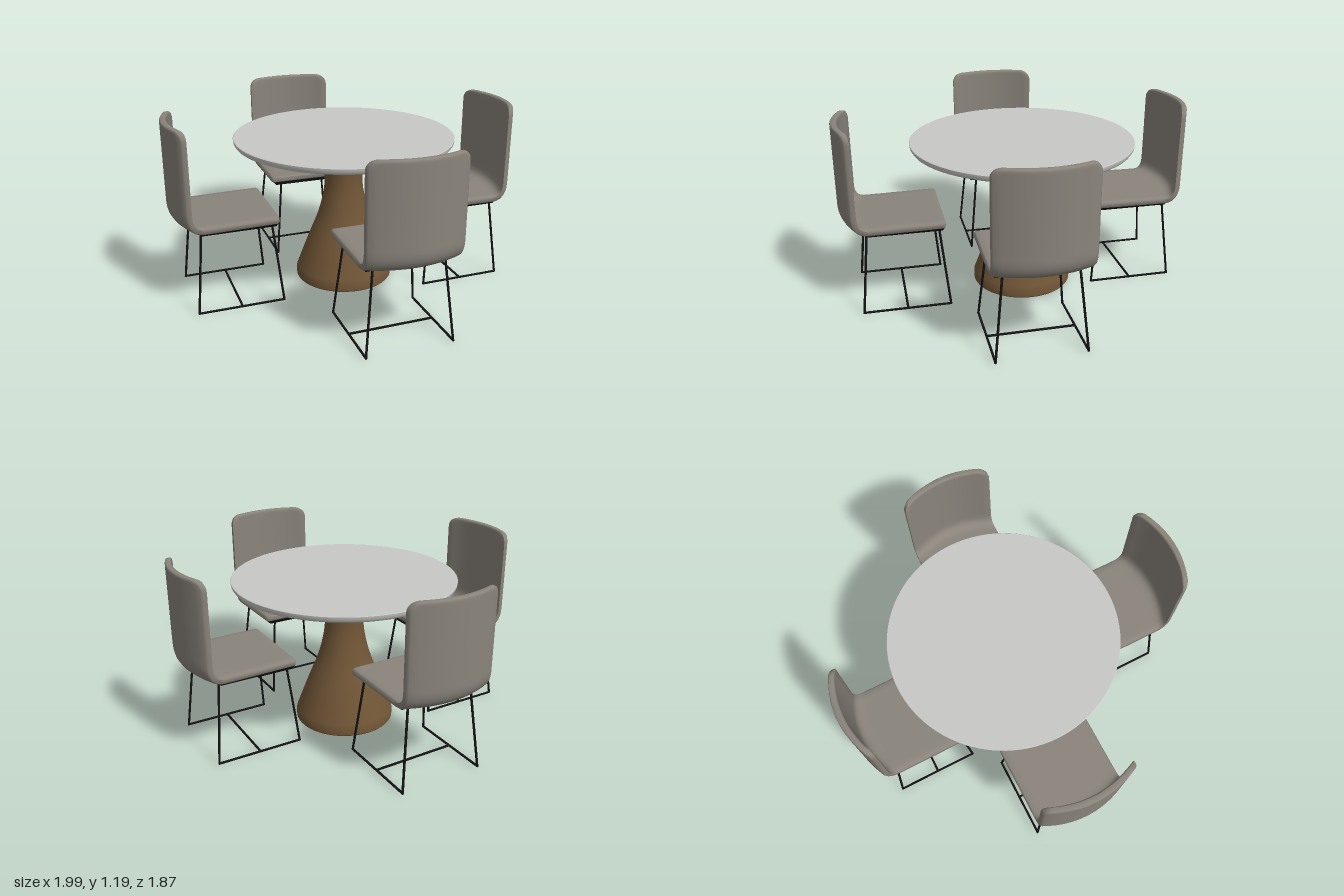
import * as THREE from 'three';
import { toCreasedNormals } from 'three/addons/utils/BufferGeometryUtils.js';

const mat = (name, color) => {
  const m = new THREE.MeshStandardMaterial({ color });
  m.name = name;
  return m;
};

function add(parent, name, geometry, material) {
  const mesh = new THREE.Mesh(geometry, material);
  mesh.name = name;
  parent.add(mesh);
  return mesh;
}

// One-piece padded seat and back: a bent profile swept as rounded cross-sections.
// x is the width, z runs from the seat front to the back.
function shellGeometry() {
  const W = 0.297, T = 0.042, R = 0.01, N = 14, BOW = 0.12;
  const frontRadius = 0.025, topRadius = 0.065;
  const path = new THREE.Path();
  path.moveTo(0, 0.568);
  path.lineTo(0.52, 0.562);
  path.quadraticCurveTo(0.622, 0.556, 0.625, 0.66);
  path.lineTo(0.625, 1.187);
  const L = path.getLength();

  // Stations along the profile, packed closer at the rounded ends
  const stations = [];
  for (let i = 0; i <= 5; i++) stations.push(frontRadius * (1 - Math.cos(i * Math.PI / 10)));
  for (let i = 1; i < 44; i++) stations.push(frontRadius + (L - frontRadius - topRadius) * i / 44);
  for (let i = 0; i <= 8; i++) stations.push(L - topRadius + topRadius * Math.sin(i * Math.PI / 16));

  const inset = (s, r) => (s >= r ? 0 : r - Math.sqrt(Math.max(0, r * r - (r - s) ** 2)));
  const pos = [], idx = [], M = 2 * (N + 1) + 4;
  for (const s of stations) {
    const p = path.getPoint(s / L), t = path.getTangent(s / L);
    const w = W - inset(s, frontRadius) - inset(L - s, topRadius);
    const h = T / 2 - 0.6 * inset(Math.min(s, L - s), 0.016);
    const put = (u, n) => {
      const k = (u / W) ** 2;
      pos.push(u, p.y + n * t.x, (p.x - n * t.y) * (1 - BOW * k));
    };
    const across = i => (w - R) * (2 * i / N - 1);
    for (let i = 0; i <= N; i++) put(across(i), h);
    put(w, h - R * 0.7); put(w, -h + R * 0.7);
    for (let i = N; i >= 0; i--) put(across(i), -h);
    put(-w, -h + R * 0.7); put(-w, h - R * 0.7);
  }
  const last = (stations.length - 1) * M;
  for (let o = 0; o < last; o += M) {
    for (let i = 0; i < M; i++) {
      const a = o + i, b = o + (i + 1) % M;
      idx.push(a, a + M, b + M, a, b + M, b);
    }
  }
  // End caps at the seat front and the top of the back
  for (let k = 0; k < N + 2; k++) {
    const a = (M - 1 + k) % M, b = (M + k) % M, c = M - 3 - k, d = M - 2 - k;
    idx.push(a, b, c, a, c, d);
    idx.push(last + a, last + c, last + b, last + a, last + d, last + c);
  }
  const g = new THREE.BufferGeometry();
  g.setAttribute('position', new THREE.Float32BufferAttribute(pos, 3));
  g.setIndex(idx);
  return toCreasedNormals(g, 1.0);
}

// Shallow tray under the seat, narrower at the bottom
function trayGeometry() {
  const g = new THREE.BoxGeometry(0.575, 0.03, 0.49);
  const p = g.attributes.position;
  for (let i = 0; i < p.count; i++) {
    if (p.getY(i) < 0) p.setXYZ(i, p.getX(i) * 0.92, p.getY(i), p.getZ(i) * 0.95);
  }
  g.translate(0, 0.538, 0.252);
  g.computeVertexNormals();
  return g;
}

function rod(parent, name, a, b, material) {
  const from = new THREE.Vector3(...a), to = new THREE.Vector3(...b);
  const dir = to.clone().sub(from);
  const mesh = add(parent, name, new THREE.CylinderGeometry(0.0075, 0.0075, dir.length() + 0.008, 8), material);
  mesh.position.copy(from).add(to).multiplyScalar(0.5);
  mesh.quaternion.setFromUnitVectors(new THREE.Vector3(0, 1, 0), dir.normalize());
}

export function createModel() {
  const stone = mat('pale table top', 0xc8c8c6);
  const wood = mat('brown wood', 0x705536);
  const fabric = mat('taupe upholstery', 0x8a847b);
  const black = mat('black metal', 0x131313);

  const model = new THREE.Group();
  model.name = 'diningSet';

  // Round table
  const table = new THREE.Group();
  table.name = 'table';
  table.position.set(-0.01, 0, -0.063);
  model.add(table);

  const v = (x, y) => new THREE.Vector2(x, y);
  const topProfile = [v(0, 0.952), v(0.685, 0.952), v(0.708, 0.962), v(0.719, 0.978), v(0.721, 0.997), v(0.718, 1.0), v(0, 1.0)];
  add(table, 'tableTop', toCreasedNormals(new THREE.LatheGeometry(topProfile, 96), 0.6), stone);

  const flare = new THREE.SplineCurve([
    v(0.325, 0.058), v(0.245, 0.27), v(0.172, 0.455), v(0.133, 0.62),
    v(0.127, 0.74), v(0.137, 0.85), v(0.163, 0.955),
  ]).getPoints(36);
  const pedestalProfile = [v(0, 0.004), v(0.318, 0.004), v(0.325, 0.012), ...flare, v(0, 0.955)];
  add(table, 'pedestal', toCreasedNormals(new THREE.LatheGeometry(pedestalProfile, 64), 0.6), wood);

  // Four chairs facing the table: [x, z] of each seat front
  const shell = shellGeometry(), tray = trayGeometry();
  const places = [[-0.387, 0.297], [-0.387, -0.332], [0.382, -0.307], [0.382, 0.317]];
  for (const [x, z] of places) {
    const chair = new THREE.Group();
    chair.name = 'chair';
    chair.position.set(x, 0, z);
    chair.rotation.y = Math.atan2(Math.sign(x), Math.sign(z));
    model.add(chair);
    add(chair, 'seatAndBack', shell, fabric);
    add(chair, 'seatTray', tray, black);

    // Sled frame: splayed legs, floor rails and a cross bar
    const mid = 0.26, foot = 0.275, head = 0.222, floor = 0.0085;
    for (const side of [-1, 1]) {
      for (const end of [-1, 1]) {
        rod(chair, 'leg', [side * foot, floor, mid + end * foot], [side * head, 0.53, mid + end * head], black);
      }
      rod(chair, 'floorRail', [side * foot, floor, mid - foot], [side * foot, floor, mid + foot], black);
    }
    rod(chair, 'crossBar', [-foot, floor, mid], [foot, floor, mid], black);
  }
  return model;
}
